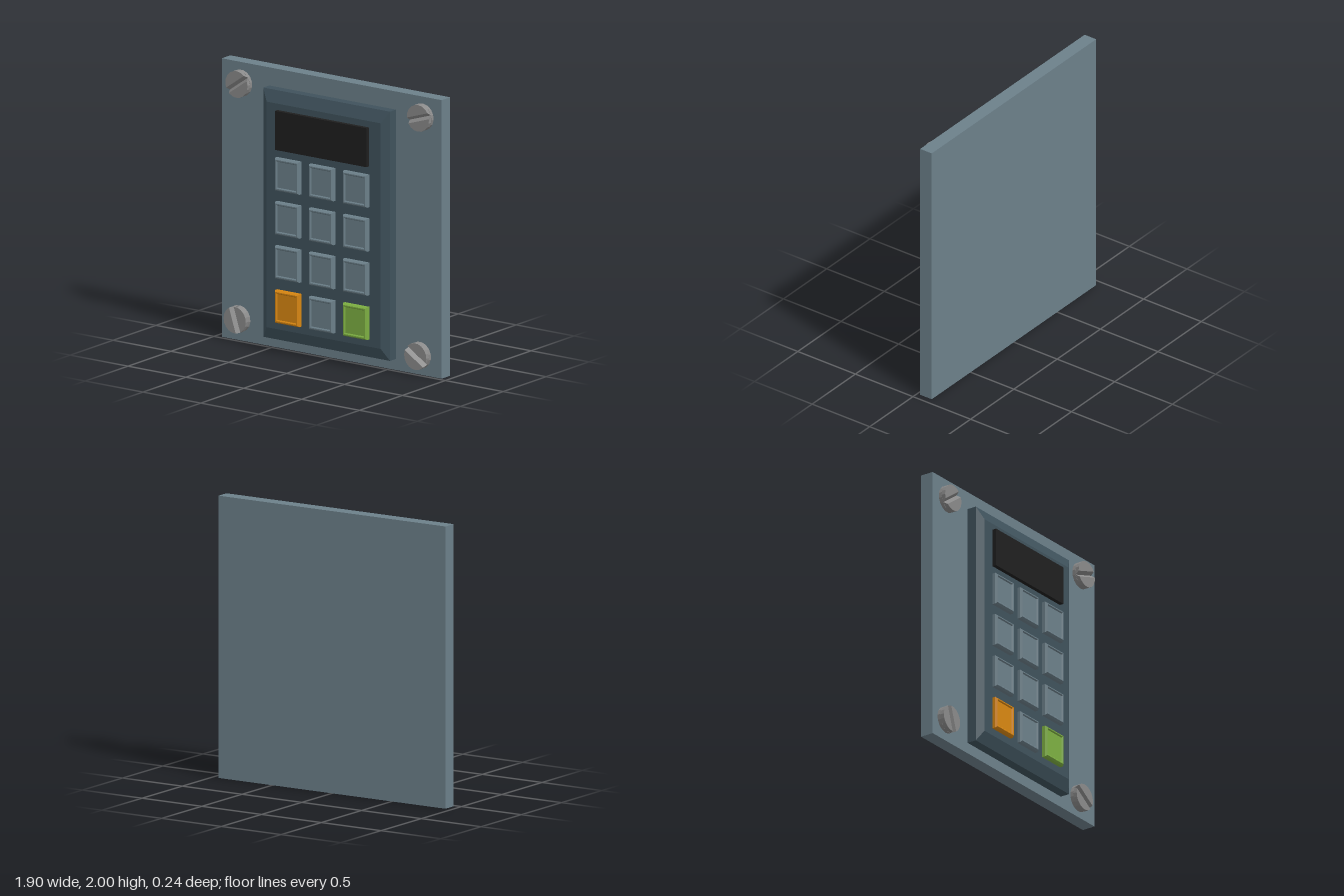
import * as THREE from 'three';

const paint = (color) => new THREE.MeshStandardMaterial({ color, flatShading: true });
const plateMat = paint(0x6c808a);
const bezelMat = paint(0x3f525c);
const screenMat = paint(0x1f1f1f);
const orangeMat = paint(0xd98711);
const greenMat = paint(0x7daf42);
const screwMat = paint(0x8a8a8a);

function add(parent, name, geometry, material, x = 0, y = 0, z = 0) {
  const mesh = new THREE.Mesh(geometry, material);
  mesh.name = name;
  mesh.position.set(x, y, z);
  parent.add(mesh);
  return mesh;
}

// Closed solid through rectangles [width, height, z], listed back to front
function rectLoft(rings) {
  const pos = [];
  const corner = (i, k) => {
    const [w, h, z] = rings[i];
    const sx = k % 4 === 1 || k % 4 === 2 ? 0.5 : -0.5;
    const sy = k % 4 >= 2 ? 0.5 : -0.5;
    pos.push(sx * w, sy * h, z);
  };
  const quad = (a, b, c, d) => [a, b, c, a, c, d].forEach(([i, k]) => corner(i, k));
  for (let i = 0; i < rings.length - 1; i++) {
    for (let k = 0; k < 4; k++) quad([i, k], [i, k + 1], [i + 1, k + 1], [i + 1, k]);
  }
  const last = rings.length - 1;
  quad([last, 0], [last, 1], [last, 2], [last, 3]);
  quad([0, 3], [0, 2], [0, 1], [0, 0]);
  const geometry = new THREE.BufferGeometry();
  geometry.setAttribute('position', new THREE.Float32BufferAttribute(pos, 3));
  geometry.computeVertexNormals();
  return geometry;
}

// Half of a screw head; its straight side slopes to form one wall of the slot
function screwHalf(radius, slot, depth) {
  const start = Math.asin(slot / radius);
  const points = [];
  for (let i = 0; i <= 8; i++) {
    const a = start + (Math.PI - 2 * start) * i / 8;
    points.push(new THREE.Vector2(Math.cos(a) * radius, Math.sin(a) * radius));
  }
  const geometry = new THREE.ExtrudeGeometry(new THREE.Shape(points), { depth, bevelEnabled: false });
  const p = geometry.attributes.position;
  for (let i = 0; i < p.count; i++) {
    if (p.getZ(i) < 1e-4 && Math.abs(p.getY(i) - slot) < 1e-4) {
      p.setXY(i, Math.sign(p.getX(i)) * radius, 0);
    }
  }
  geometry.computeVertexNormals();
  return geometry;
}

export function createModel() {
  const model = new THREE.Group();
  model.name = 'keypad';

  // Wall plate and bevelled housing
  add(model, 'backPlate', new THREE.BoxGeometry(1.9, 2, 0.1), plateMat, 0, 1, -0.075);
  const housing = rectLoft([[1.095, 1.79, -0.03], [1.095, 1.79, 0.045], [0.985, 1.62, 0.08]]);
  add(model, 'housing', housing, bezelMat, 0.008, 0.975);

  // Display
  add(model, 'display', new THREE.BoxGeometry(0.79, 0.28, 0.04), screenMat, 0.005, 1.6, 0.09);

  // Keys with a chamfered rim and a shallow dished face
  const keyGeo = rectLoft([
    [0.21, 0.235, 0.075], [0.21, 0.235, 0.105], [0.19, 0.215, 0.118],
    [0.175, 0.2, 0.118], [0.16, 0.185, 0.11],
  ]);
  const keys = new THREE.Group();
  keys.name = 'keys';
  model.add(keys);
  [1.285, 0.97, 0.653, 0.335].forEach((y, row) => {
    [-0.288, 0.005, 0.298].forEach((x, col) => {
      const bottom = row === 3;
      const material = bottom && col === 0 ? orangeMat : bottom && col === 2 ? greenMat : plateMat;
      const name = bottom && col === 0 ? 'clearKey' : bottom && col === 2 ? 'confirmKey' : 'key';
      add(keys, name, keyGeo, material, x, y);
    });
  });

  // Slotted corner screws, each turned differently
  const radius = 0.096;
  const baseGeo = new THREE.CylinderGeometry(radius, radius, 0.027, 16).rotateX(Math.PI / 2);
  const halfGeo = screwHalf(radius, 0.021, 0.03);
  [[-0.783, 1.85, 35], [0.785, 1.855, 18], [-0.798, 0.155, -72], [0.762, 0.14, -33]].forEach(([x, y, turn]) => {
    const screw = new THREE.Group();
    screw.name = 'screw';
    screw.position.set(x, y, 0);
    screw.rotation.z = THREE.MathUtils.degToRad(turn);
    add(screw, 'screwBase', baseGeo, screwMat, 0, 0, -0.0135);
    add(screw, 'screwHeadHalf', halfGeo, screwMat);
    add(screw, 'screwHeadHalf', halfGeo, screwMat).rotation.z = Math.PI;
    model.add(screw);
  });

  return model;
}
